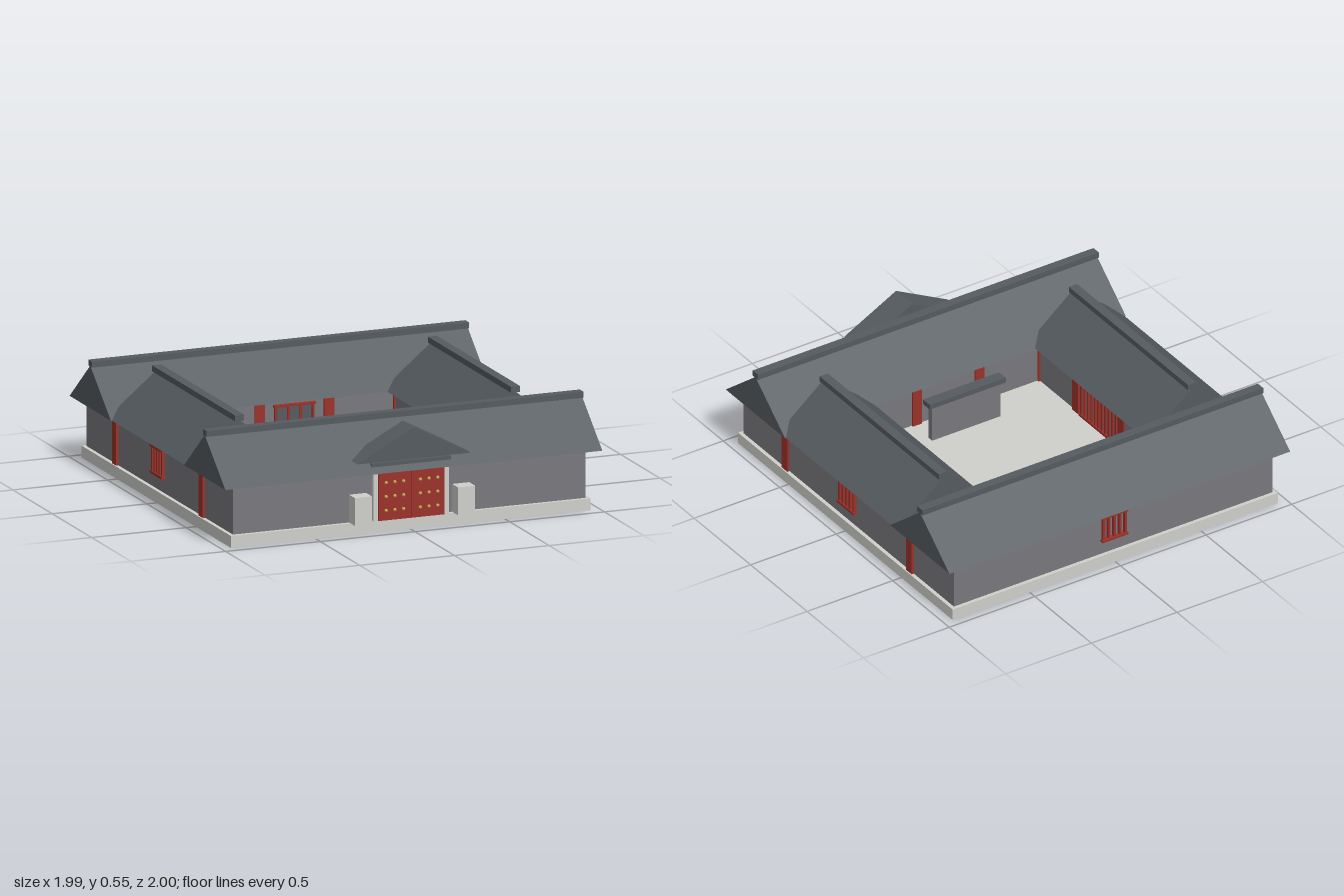
import * as THREE from 'three';

const mat = (name, color) => Object.assign(new THREE.MeshStandardMaterial({ color }), { name });

export function createModel() {
  const stone = mat('pale stone', 0xcfcfcb);
  const brick = mat('grey brick', 0x79787d);
  const tile = mat('roof tile', 0x555b60);
  const red = mat('red lacquer', 0x9c322a);
  const gold = mat('gold studs', 0xc4a550);

  const root = new THREE.Group();
  root.name = 'courtyardHouse';
  const house = new THREE.Group();
  house.name = 'house';
  house.position.z = -0.005;
  root.add(house);

  // Box given by its limits on each axis
  const box = (parent, name, m, [x0, x1], [y0, y1], [z0, z1]) => {
    const mesh = new THREE.Mesh(new THREE.BoxGeometry(x1 - x0, y1 - y0, z1 - z0), m);
    mesh.position.set((x0 + x1) / 2, (y0 + y1) / 2, (z0 + z1) / 2);
    mesh.name = name;
    parent.add(mesh);
    return mesh;
  };
  // Triangular prism with its ridge along local z
  const gable = (parent, name, half, y0, y1, length) => {
    const tri = new THREE.Shape([
      new THREE.Vector2(-half, y0), new THREE.Vector2(half, y0), new THREE.Vector2(0, y1)]);
    const g = new THREE.ExtrudeGeometry(tri, { depth: length, bevelEnabled: false });
    g.translate(0, 0, -length / 2);
    const mesh = new THREE.Mesh(g, tile);
    mesh.name = name;
    parent.add(mesh);
    return mesh;
  };

  const FLOOR = 0.06, EAVE = 0.305, R = 0.7275;
  box(house, 'platform', stone, [-0.95, 0.95], [0, FLOOR], [-0.95, 0.95]);

  // Barred window or lattice door, facing local +z at the wall plane z = 0
  const lattice = (parent, name, w, y0, y1, bars, proud) => {
    const g = new THREE.Group();
    g.name = name;
    for (const y of [y0, y1 - 0.013]) {
      box(g, 'rail', red, [-w / 2, w / 2], [y, y + 0.013], [-0.005, proud]);
    }
    for (let i = 0; i < bars; i++) {
      const x = (i / (bars - 1) - 0.5) * (w - 0.024);
      box(g, 'bar', red, [x - 0.006, x + 0.006], [y0, y1], [-0.005, proud - 0.005]);
    }
    parent.add(g);
    return g;
  };

  // One hall: local +z is the outer side, local x runs along the ridge
  const hall = (name, angle, wallHalf, roofHalf) => {
    const g = new THREE.Group();
    g.name = name;
    g.rotation.y = angle;
    box(g, 'walls', brick, [-wallHalf, wallHalf], [FLOOR, EAVE], [0.535, 0.93]);
    const roof = gable(g, 'roof', 0.2625, EAVE, 0.52, roofHalf * 2);
    roof.rotation.y = Math.PI / 2;
    roof.position.z = R;
    box(g, 'ridge', tile, [-roofHalf, roofHalf], [0.515, 0.545], [R - 0.024, R + 0.024]);
    house.add(g);
    return g;
  };
  const pillar = (g, x, z) =>
    box(g, 'pillar', red, [x - 0.026, x + 0.026], [FLOOR, EAVE], [z - 0.026, z + 0.026]);

  const frontHall = hall('frontHall', 0, 0.93, 0.995);
  const backHall = hall('backHall', Math.PI, 0.93, 0.995);
  const sideHalls = [hall('leftHall', Math.PI / 2, 0.56, 0.5275),
    hall('rightHall', -Math.PI / 2, 0.56, 0.5275)];

  // Pillars along the courtyard fronts
  for (const g of [frontHall, backHall]) {
    for (const x of [0.183, 0.55, 0.917]) for (const s of [-1, 1]) pillar(g, s * x, 0.55);
  }

  // Outer windows, courtyard doors and window
  for (const g of [backHall, ...sideHalls]) {
    lattice(g, 'outerWindow', 0.15, 0.133, 0.28, 5, 0.022).position.z = 0.93;
  }
  for (const g of sideHalls) {
    for (const s of [-1, 1]) pillar(g, s * 0.2, 0.55);
    const doors = lattice(g, 'latticeDoors', 0.33, FLOOR, 0.275, 11, 0.015);
    doors.rotation.y = Math.PI;
    doors.position.z = 0.535;
  }
  const innerWindow = lattice(backHall, 'courtyardWindow', 0.22, 0.133, 0.28, 4, 0.018);
  innerWindow.rotation.y = Math.PI;
  innerWindow.position.z = 0.535;
  box(innerWindow, 'pane', tile, [-0.1, 0.1], [0.14, 0.27], [-0.003, 0.005]);

  // Gate with two studded leaves, posts, lintel and small gable
  const gate = new THREE.Group();
  gate.name = 'gate';
  house.add(gate);
  const studGeo = new THREE.SphereGeometry(0.009, 8, 6);
  for (const s of [-1, 1]) {
    const leaf = box(gate, 'doorLeaf', red, [-0.0865, 0.0865], [FLOOR, EAVE], [0.92, 0.962]);
    leaf.position.x = s * 0.0875;
    for (const x of [0.044, 0.09, 0.136]) for (const y of [0.11, 0.18, 0.25]) {
      const stud = new THREE.Mesh(studGeo, gold);
      stud.name = 'stud';
      stud.position.set(s * x, y, 0.965);
      gate.add(stud);
    }
    const post = box(gate, 'gatePost', stone, [-0.0125, 0.0125], [FLOOR, EAVE], [0.92, 0.955]);
    post.position.x = s * 0.1875;
    const block = box(gate, 'gateStone', stone, [-0.045, 0.045], [FLOOR, 0.2], [0.915, 1.005]);
    block.position.x = s * 0.272;
  }
  box(gate, 'lintel', tile, [-0.21, 0.21], [EAVE, 0.35], [0.88, 0.957]);
  gable(gate, 'gateRoof', 0.3, 0.365, 0.522, 0.143).position.z = 0.9195;

  // Screen wall inside the gate
  const screen = new THREE.Group();
  screen.name = 'screenWall';
  house.add(screen);
  box(screen, 'screenBody', brick, [-0.2, 0.2], [FLOOR, 0.255], [0.368, 0.402]);
  box(screen, 'screenCap', tile, [-0.222, 0.222], [0.255, 0.282], [0.355, 0.415]);

  return root;
}
